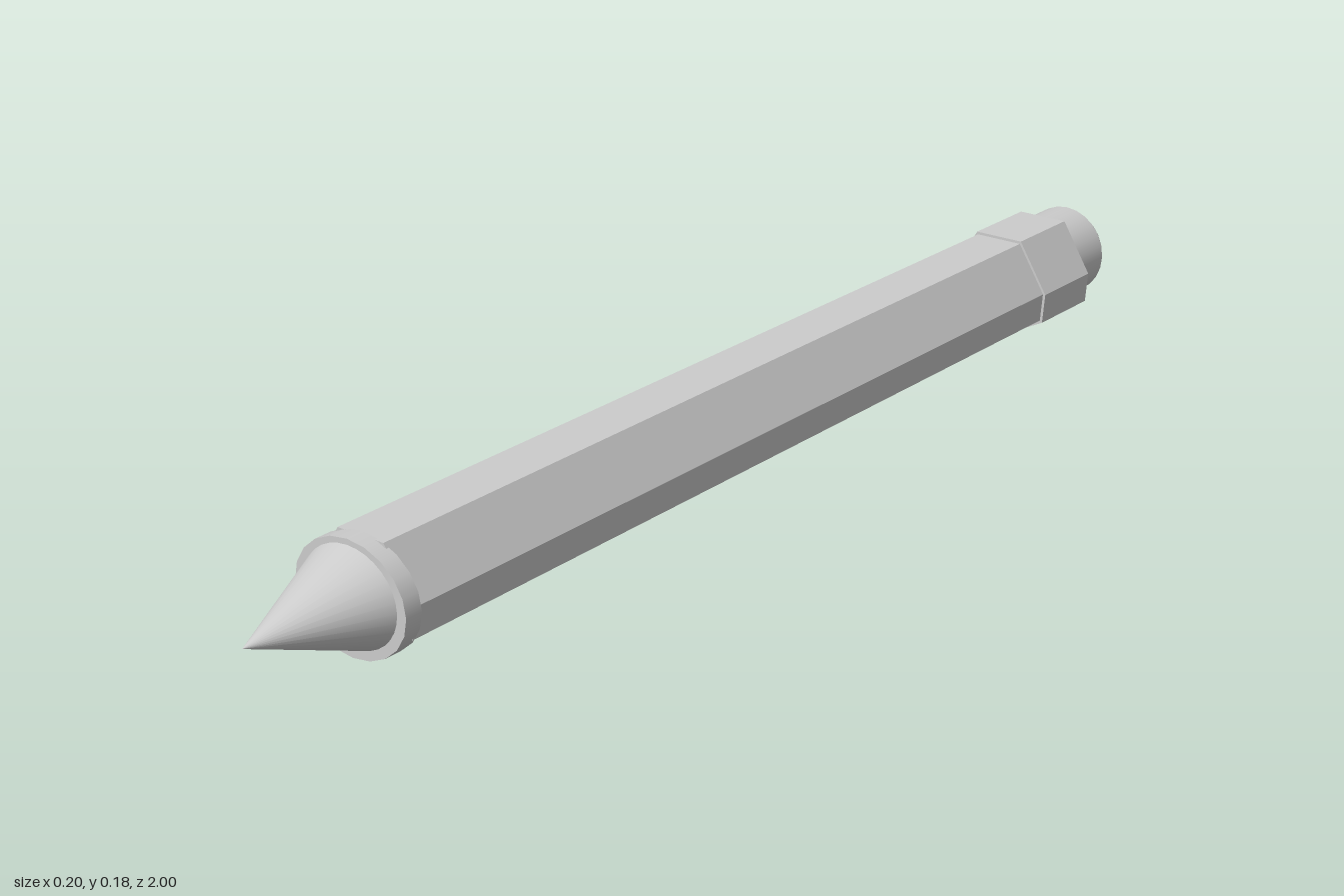
import * as THREE from 'three';

const grey = new THREE.MeshStandardMaterial({ color: 0xcccccc });
const faceted = new THREE.MeshStandardMaterial({ color: 0xcccccc, flatShading: true });

// Barrel cross-section: a hexagon with its lower left-hand corner pulled outwards
const section = [
  [0.042, 0.171], [-0.042, 0.171], [-0.091, 0.091],
  [-0.042, 0.02], [0.042, 0.02], [0.088, 0.043], [0.092, 0.091],
];

// Faceted bar running along z
function prism(name, points, zBack, zFront) {
  const shape = new THREE.Shape(points.map(([x, y]) => new THREE.Vector2(x, y)));
  const geometry = new THREE.ExtrudeGeometry(shape, { depth: zFront - zBack, bevelEnabled: false });
  geometry.translate(0, 0, zBack);
  const mesh = new THREE.Mesh(geometry, faceted);
  mesh.name = name;
  return mesh;
}

// Oval cylinder or cone along z; radii are for the back and front ends
function round(name, rBack, rFront, zBack, zFront, squash, x, y, sides = 20) {
  const geometry = new THREE.CylinderGeometry(rFront, rBack, zFront - zBack, sides);
  geometry.rotateX(Math.PI / 2);
  geometry.scale(1, squash, 1);
  geometry.translate(x, y, (zBack + zFront) / 2);
  const mesh = new THREE.Mesh(geometry, grey);
  mesh.name = name;
  return mesh;
}

export function createModel() {
  const pencil = new THREE.Group();
  pencil.name = 'pencil';

  // Long barrel and the slightly larger sleeve that holds the eraser
  pencil.add(prism('barrel', section, -0.9, 0.78));
  const sleeve = section.map(([x, y]) => [x * 1.05, 0.096 + (y - 0.096) * 1.06]);
  pencil.add(prism('sleeve', sleeve, -0.91, -0.77));

  // Collar and sharpened tip
  pencil.add(round('collar', 0.102, 0.102, 0.775, 0.805, 0.855, 0, 0.0873));
  pencil.add(round('tip', 0.088, 0, 0.8, 1, 0.88, 0, 0.09, 32));

  // Eraser with a small chamfer at its end
  const eraser = new THREE.Group();
  eraser.name = 'eraser';
  eraser.add(round('eraserBody', 0.076, 0.076, -0.985, -0.9, 1.01, 0.003, 0.097, 24));
  eraser.add(round('eraserChamfer', 0.066, 0.076, -1, -0.985, 1.01, 0.003, 0.097, 24));
  pencil.add(eraser);

  return pencil;
}
